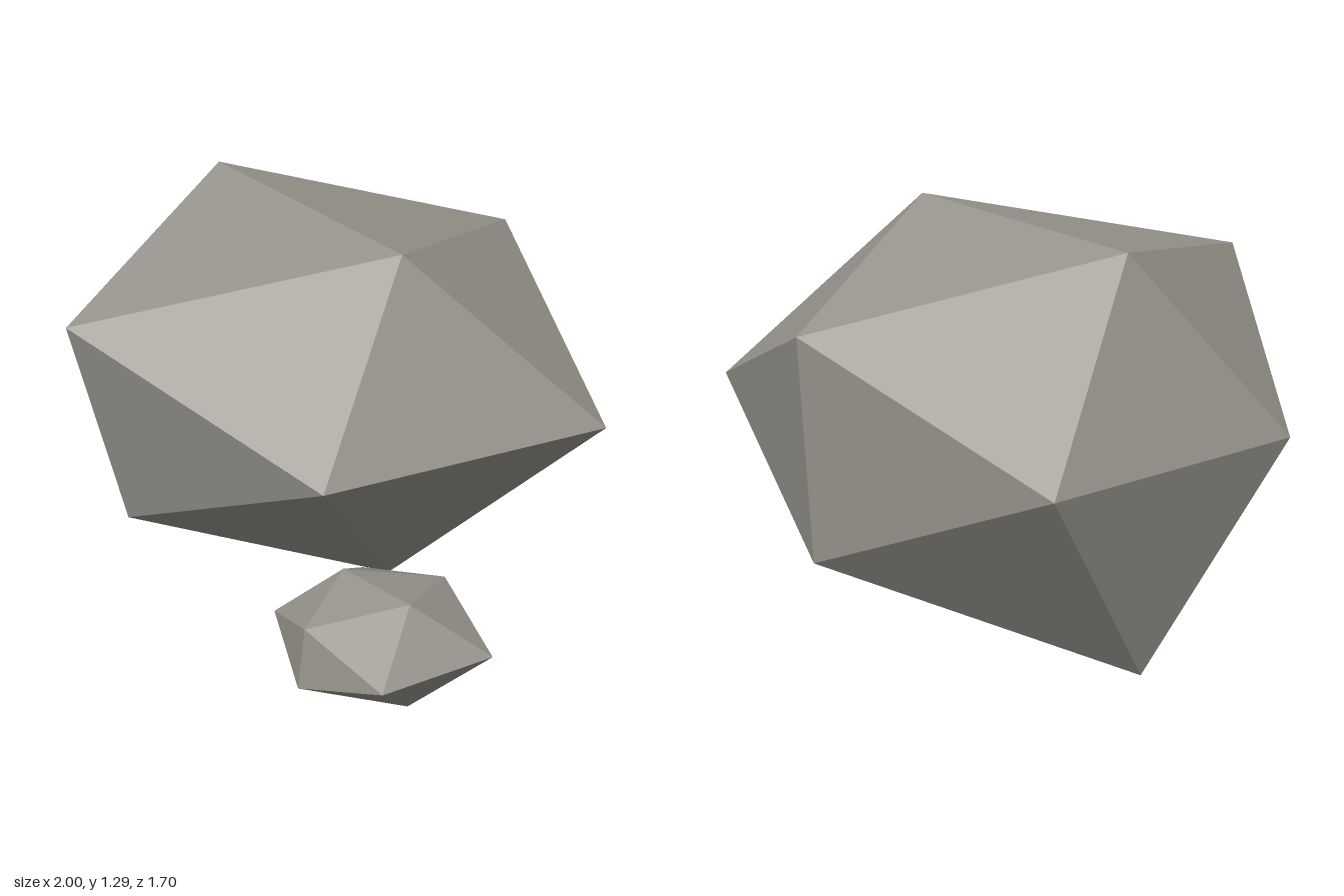
import * as THREE from 'three';

const T = (1 + Math.sqrt(5)) / 2;

// Corners and faces of a regular icosahedron
const CORNERS = [
  [-1, T, 0], [1, T, 0], [-1, -T, 0], [1, -T, 0],
  [0, -1, T], [0, 1, T], [0, -1, -T], [0, 1, -T],
  [T, 0, -1], [T, 0, 1], [-T, 0, -1], [-T, 0, 1],
];
const FACES = [
  0, 11, 5, 0, 5, 1, 0, 1, 7, 0, 7, 10, 0, 10, 11,
  1, 5, 9, 5, 11, 4, 11, 10, 2, 10, 7, 6, 7, 1, 8,
  3, 9, 4, 3, 4, 2, 3, 2, 6, 3, 6, 8, 3, 8, 9,
  4, 9, 5, 2, 4, 11, 6, 2, 10, 8, 6, 7, 9, 8, 1,
];

// A rough stone: each corner is pushed in or out by its own factor, then squashed in height
function makeRock(name, factors, squash, center, material) {
  const points = CORNERS.flatMap(([x, y, z], i) => [
    x * factors[i], y * factors[i] * squash, z * factors[i],
  ]);
  const indexed = new THREE.BufferGeometry();
  indexed.setAttribute('position', new THREE.Float32BufferAttribute(points, 3));
  indexed.setIndex(FACES);
  const geometry = indexed.toNonIndexed();
  geometry.computeVertexNormals();
  const rock = new THREE.Mesh(geometry, material);
  rock.name = name;
  rock.position.set(...center);
  return rock;
}

export function createModel() {
  const model = new THREE.Group();
  model.name = 'rocks';
  const stone = new THREE.MeshStandardMaterial({ color: 0x99968e, flatShading: true });
  stone.name = 'stone grey';

  // Main boulder
  model.add(makeRock('boulder',
    [0.506, 0.504, 0.599, 0.451, 0.428, 0.545, 0.476, 0.503, 0.533, 0.449, 0.473, 0.454],
    0.72, [-0.235, 0.703, -0.032], stone));

  // Small stone beside it
  model.add(makeRock('smallStone',
    [0.15, 0.181, 0.16, 0.176, 0.167, 0.152, 0.176, 0.166, 0.199, 0.188, 0.208, 0.168],
    0.6, [0.676, 0.313, 0.37], stone));

  return model;
}
